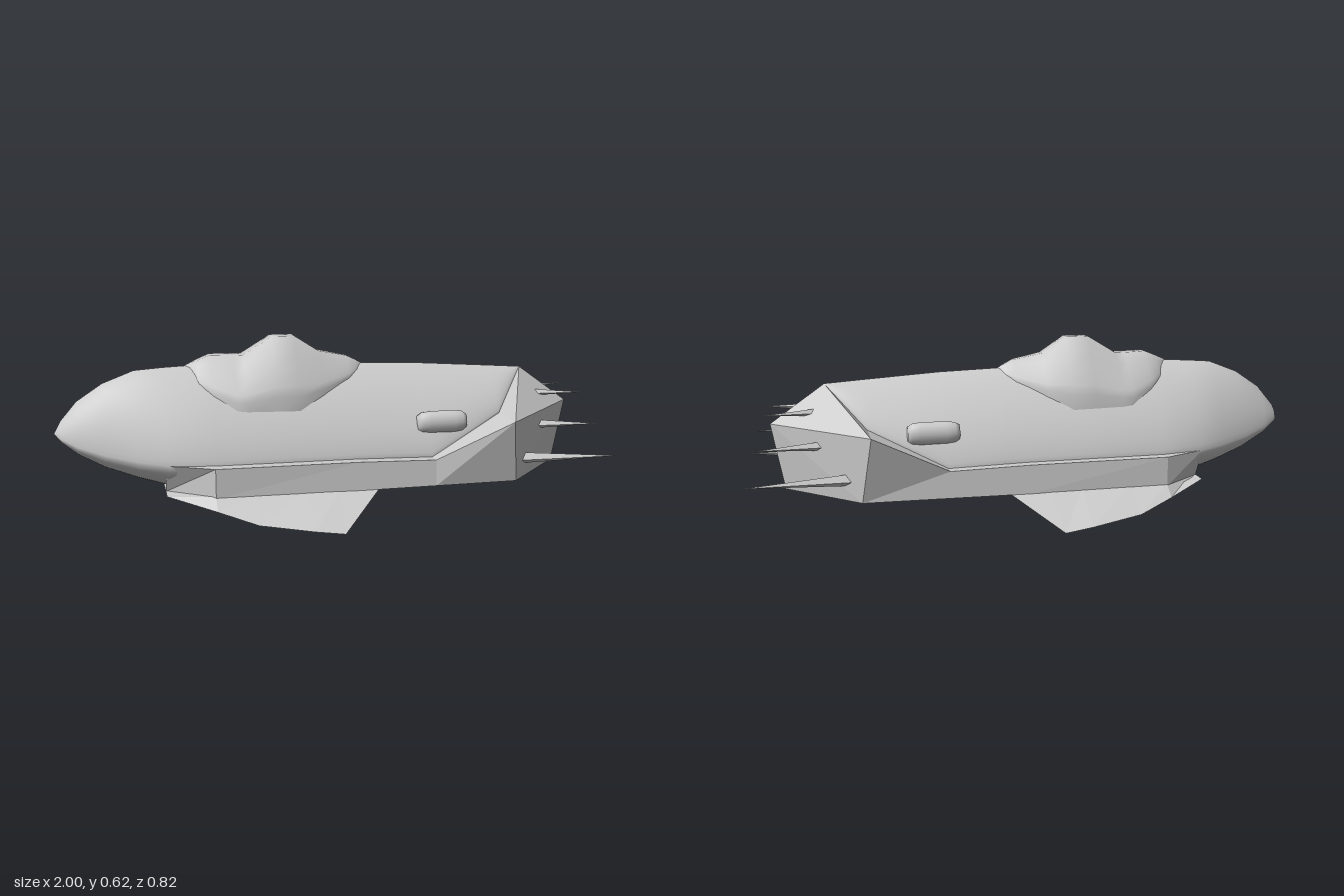
import * as THREE from 'three';

const smooth = new THREE.MeshStandardMaterial({ color: 0xcccccc, side: THREE.DoubleSide });
const flat = new THREE.MeshStandardMaterial({ color: 0xcccccc, side: THREE.DoubleSide, flatShading: true });

// Skin a list of cross-sections, each an equal-length list of [x, y, z]
function loft(rows) {
  const n = rows[0].length, index = [];
  for (let i = 0; i < rows.length - 1; i++) {
    for (let j = 0; j < n - 1; j++) {
      const a = i * n + j, b = a + n;
      index.push(a, a + 1, b, a + 1, b + 1, b);
    }
  }
  const g = new THREE.BufferGeometry();
  g.setAttribute('position', new THREE.Float32BufferAttribute(rows.flat(2), 3));
  g.setIndex(index);
  g.computeVertexNormals();
  return g;
}

const mirrorRow = (row) => row.map(([x, y, z]) => [x, y, -z]).reverse();

export function createModel() {
  const model = new THREE.Group();
  const add = (name, geometry, material) => {
    const mesh = new THREE.Mesh(geometry, material);
    mesh.name = name;
    model.add(mesh);
    return mesh;
  };

  // Fuselage: x, top, waist height, bottom, half width, roundness
  const stations = [
    [-1, 0.305, 0.305, 0.305, 0, 1.7],
    [-0.975, 0.35, 0.295, 0.275, 0.052, 1.7],
    [-0.92, 0.415, 0.27, 0.23, 0.082, 1.65],
    [-0.83, 0.475, 0.245, 0.18, 0.117, 1.6],
    [-0.72, 0.517, 0.225, 0.138, 0.155, 1.5],
    [-0.62, 0.524, 0.215, 0.107, 0.19, 1.45],
    [-0.47, 0.53, 0.21, 0.107, 0.21, 1.38],
    [-0.2, 0.525, 0.21, 0.11, 0.21, 1.35],
    [0.1, 0.515, 0.207, 0.12, 0.21, 1.35],
    [0.31, 0.507, 0.2, 0.13, 0.21, 1.35],
    [0.58, 0.488, 0.335, 0.31, 0.15, 1.35],
    [0.715, 0.478, 0.478, 0.478, 0, 1.35],
  ];
  const SEG = 48;
  const superellipse = (v, p) => Math.sign(v) * Math.abs(v) ** (2 / p);
  add('fuselage', loft(stations.map(([x, top, mid, bottom, w, p]) =>
    Array.from({ length: SEG + 1 }, (_, i) => {
      const a = -Math.PI / 2 - (i / SEG) * Math.PI * 2;
      const s = Math.sin(a), c = Math.cos(a);
      return s > 0
        ? [x, mid + (top - mid) * superellipse(s, p), w * superellipse(c, p)]
        : [x, mid + (mid - bottom) * superellipse(s, 1.8), w * superellipse(c, 1.8)];
    }))), smooth);

  // Lower hull: ledge, outer wall and shallow V bottom
  const apex = [0.715, 0.478, 0], shoulder = [0.58, 0.335, 0.31];
  const corner = [0.61, 0.107, 0.26], heel = [0.86, 0.107, 0], stern = [0.905, 0.342, 0];
  const crease = [0.58, 0.335, 0.148];
  const hullHalves = [
    [[-0.63, 0.215, 0.18], [-0.63, 0.215, 0.184], [-0.63, 0.107, 0.12], [-0.63, 0.107, 0]],
    [[-0.47, 0.212, 0.2], [-0.47, 0.212, 0.255], [-0.47, 0.107, 0.255], [-0.47, 0.085, 0]],
    [[0.03, 0.208, 0.2], [0.03, 0.208, 0.255], [0.03, 0.107, 0.26], [0.03, 0.058, 0]],
    [[0.31, 0.2, 0.2], [0.31, 0.2, 0.255], [0.31, 0.107, 0.26], [0.31, 0.075, 0]],
    [crease, shoulder, corner, heel],
  ];
  add('lowerHull', loft(hullHalves.map((r) => [...r, ...mirrorRow(r).slice(1)])), flat);

  // Faceted tail: flare beside the spine, upper facet and stern plate
  const tail = [
    [crease, apex, shoulder],
    [apex, stern, shoulder],
    [shoulder, stern, corner],
    [stern, heel, corner],
  ];
  for (const side of [1, -1]) {
    const g = new THREE.BufferGeometry();
    const tris = side > 0 ? tail.map((t) => [t[0], t[2], t[1]]) : tail.map(mirrorRow).map((t) => [t[0], t[2], t[1]]);
    g.setAttribute('position', new THREE.Float32BufferAttribute(tris.flat(2), 3));
    g.computeVertexNormals();
    add(side > 0 ? 'leftTail' : 'rightTail', g, flat);
  }

  // Canopy: x, top, base, half width
  const canopy = [
    [-0.54, 0.53, 0.5, 0.005],
    [-0.5, 0.547, 0.44, 0.075],
    [-0.455, 0.565, 0.4, 0.105],
    [-0.375, 0.562, 0.36, 0.138],
    [-0.34, 0.562, 0.36, 0.14],
    [-0.235, 0.625, 0.36, 0.14],
    [-0.155, 0.625, 0.36, 0.14],
    [-0.065, 0.567, 0.4, 0.108],
    [0.04, 0.545, 0.45, 0.062],
    [0.075, 0.528, 0.48, 0.035],
    [0.097, 0.515, 0.5, 0.004],
  ];
  const canopyProfile = [[0.2, 1], [0.46, 0.83], [0.73, 0.59], [0.92, 0.38], [1, 0.25], [1, 0]];
  add('canopy', loft(canopy.map(([x, top, base, w]) => {
    const half = canopyProfile.map(([u, v]) => [x, base + v * (top - base), u * w]);
    return [...mirrorRow(half), ...half];
  })), smooth);

  // Drooping fins: upper root, outer edge, lower root
  const fin = [
    [[-0.63, 0.11, 0.12], [-0.63, 0.107, 0.185], [-0.63, 0.107, 0.12]],
    [[-0.47, 0.115, 0.25], [-0.47, 0.075, 0.3], [-0.47, 0.095, 0.2]],
    [[-0.33, 0.115, 0.25], [-0.34, 0.037, 0.358], [-0.33, 0.095, 0.2]],
    [[-0.155, 0.115, 0.25], [-0.155, 0.015, 0.4], [-0.155, 0.095, 0.2]],
    [[-0.04, 0.115, 0.25], [-0.055, 0.003, 0.41], [-0.04, 0.095, 0.2]],
    [[0.1, 0.112, 0.25], [0.1, 0.107, 0.257], [0.1, 0.1, 0.2]],
  ];
  add('leftFin', loft(fin), flat);
  add('rightFin', loft(fin.map(mirrorRow)), flat);

  // Side pods: bevelled capsules lying along the hull
  const podProfile = [[0, -0.092], [0.026, -0.09], [0.036, -0.075], [0.04, -0.045],
    [0.04, 0.045], [0.036, 0.075], [0.026, 0.09], [0, 0.092]].map(([r, y]) => new THREE.Vector2(r, y));
  // Stern spikes: base and tip on one side, with base radius
  const spikes = [
    [[0.64, 0.178, 0.212], [1, 0.182, 0.276], 0.022],
    [[0.73, 0.284, 0.138], [0.96, 0.284, 0.182], 0.017],
    [[0.75, 0.388, 0.06], [0.93, 0.388, 0.098], 0.013],
  ];
  const up = new THREE.Vector3(0, 1, 0);
  for (const side of [1, -1]) {
    const label = side > 0 ? 'left' : 'right';
    const pod = add(label + 'Pod', new THREE.LatheGeometry(podProfile, 16).rotateZ(-Math.PI / 2).scale(1, 1, 0.8), smooth);
    pod.position.set(0.355, 0.318, side * 0.168);

    spikes.forEach(([base, tip, radius], i) => {
      const a = new THREE.Vector3(base[0], base[1], side * base[2]);
      const b = new THREE.Vector3(tip[0], tip[1], side * tip[2]);
      const spike = add(label + 'Spike' + (i + 1), new THREE.ConeGeometry(radius, a.distanceTo(b), 4), flat);
      spike.position.copy(a).add(b).multiplyScalar(0.5);
      spike.quaternion.setFromUnitVectors(up, b.sub(a).normalize());
    });
  }
  return model;
}
